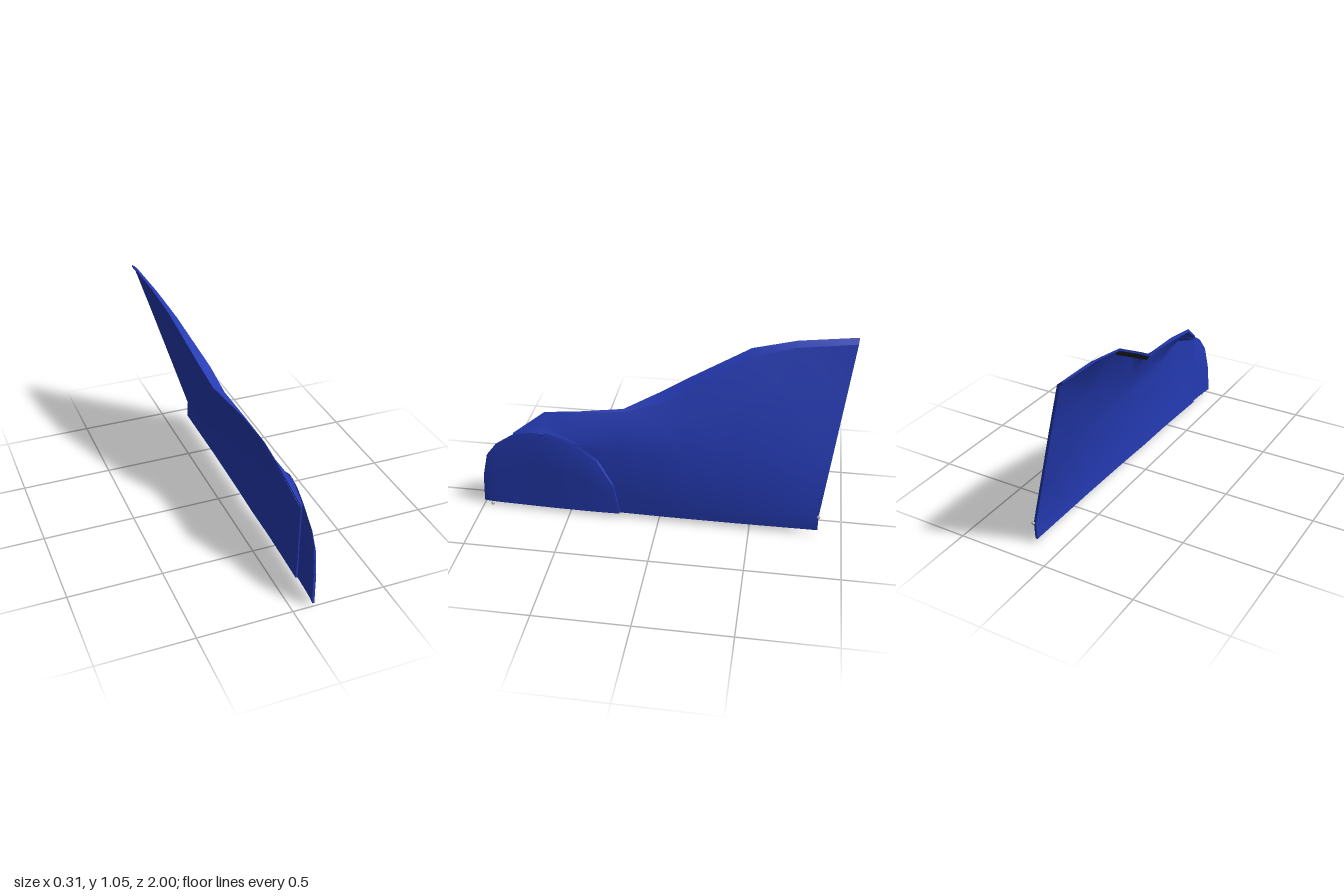
import * as THREE from 'three';
import { toCreasedNormals } from 'three/addons/utils/BufferGeometryUtils.js';

const blue = new THREE.MeshStandardMaterial({ color: 0x243ab2 });
blue.name = 'blue paint';
const black = new THREE.MeshStandardMaterial({ color: 0x1c1c1e, side: THREE.DoubleSide });
black.name = 'black lining';
const grey = new THREE.MeshStandardMaterial({ color: 0xb4b4b4 });
grey.name = 'grey metal';

const THICK = 0.013;
const bottomY = z => 0.028 - 0.007 * z;

// The rear end leans backwards as it rises
const lean = (z, y) => z - (z < 0 ? 0.13 * (-z / 0.87) * Math.max(0, (y - 0.13) / 0.92) : 0);

// Closed thin ring: outer skin from bottom to top, then the inner skin back down
function ring(z, outer, drop) {
  const inner = outer.map(([x, y], i) => {
    const k = i / (outer.length - 1);
    return i === outer.length - 1 ? [x, y - drop] : [x - THICK, y - drop * k * k];
  });
  return [...outer, ...inner.reverse()].map(([x, y]) => [x, y, lean(z, y)]);
}

// Skin a row of rings that runs from back to front
function loft(rings, closed = true) {
  const n = rings[0].length, index = [];
  const quad = (a, b, c, d) => index.push(a, b, c, a, c, d);
  for (let s = 0; s < rings.length - 1; s++) {
    for (let i = 0; i < (closed ? n : n - 1); i++) {
      const j = (i + 1) % n;
      quad(s * n + i, s * n + j, (s + 1) * n + j, (s + 1) * n + i);
    }
  }
  if (closed) {
    const last = (rings.length - 1) * n;
    for (let i = 0; i < n / 2 - 1; i++) {
      quad(i, n - 1 - i, n - 2 - i, i + 1);
      quad(last + i, last + i + 1, last + n - 2 - i, last + n - 1 - i);
    }
  }
  const g = new THREE.BufferGeometry();
  g.setAttribute('position', new THREE.Float32BufferAttribute(rings.flat(2), 3));
  g.setIndex(index);
  return toCreasedNormals(g, 0.5);
}

// z, bottom x, then x,y of the crease, middle, top edge and folded flange
const stations = [
  [-0.87, 0.14, 0.055, 0.43, -0.04, 0.75, -0.125, 1.03, -0.155, 1.055],
  [-0.6, 0.14, 0.085, 0.43, 0.0, 0.75, -0.1, 1.0, -0.135, 1.025],
  [-0.4, 0.14, 0.105, 0.43, 0.025, 0.72, -0.07, 0.945, -0.115, 0.975],
  [-0.13, 0.137, 0.125, 0.43, 0.07, 0.62, 0.01, 0.775, -0.06, 0.81],
  [0, 0.135, 0.135, 0.43, 0.09, 0.58, 0.035, 0.69, -0.03, 0.73],
  [0.2, 0.13, 0.135, 0.43, 0.11, 0.55, 0.07, 0.64, 0.055, 0.65],
  [0.42, 0.13, 0.148, 0.455, 0.125, 0.53, 0.085, 0.615, 0.075, 0.628],
  [0.63, 0.125, 0.15, 0.51, 0.115, 0.55, 0.08, 0.592, 0.07, 0.602],
  [0.8, 0.12, 0.128, 0.455, 0.126, 0.468, 0.121, 0.476, 0.11, 0.481],
];

// x,y of the wheel arch plate's edge at each z, with its bottom x
const arch = [
  [0.22, 0.142, 0.142, 0.05],
  [0.25, 0.142, 0.146, 0.22],
  [0.33, 0.143, 0.15, 0.37],
  [0.42, 0.142, 0.154, 0.45],
  [0.51, 0.14, 0.155, 0.49],
  [0.6, 0.138, 0.156, 0.515],
  [0.7, 0.134, 0.148, 0.508],
  [0.8, 0.13, 0.136, 0.48],
  [0.9, 0.126, 0.132, 0.41],
  [0.96, 0.122, 0.126, 0.33],
  [0.99, 0.118, 0.12, 0.2],
  [1, 0.114, 0.114, 0.03],
];

export function createModel() {
  const model = new THREE.Group();
  const add = (name, geometry, material) => {
    const mesh = new THREE.Mesh(geometry, material);
    mesh.name = name;
    model.add(mesh);
    return mesh;
  };

  // Main curved panel with a folded top flange
  add('bodyPanel', loft(stations.map(([z, bx, ...p]) => ring(z, [
    [bx, bottomY(z)], [bx + 0.004, 0.13],
    [p[0], p[1]], [p[2], p[3]], [p[4], p[5]], [p[6], p[7]],
  ], 0.012))), blue);

  // Slightly raised rounded plate over the front
  add('archPlate', loft(arch.map(([z, bx, tx, ty]) => {
    const by = bottomY(z);
    const at = k => [bx + (tx - bx) * k, by + (ty - by) * k];
    return ring(z, [at(0), at(0.5), at(0.94), [tx - 0.008, ty]], 0.004);
  })), blue);

  // Dark lining tucked under the flange
  add('flangeLining', loft(stations.slice(2, 5).map(([z, , ...p]) => {
    const x = p[6], y = p[7];
    return [[x - 0.001, y - 0.004], [x + 0.022, y - 0.04]].map(([a, b]) => [a, b, lean(z, y)]);
  }), false), black);

  // Small round fixings at the lower corners
  for (const [name, x, y, z] of [['frontFixing', 0.126, 0.011, 0.95], ['rearFixing', 0.147, 0.125, -0.87]]) {
    add(name, new THREE.SphereGeometry(0.01, 12, 8), grey).position.set(x, y, z);
  }
  return model;
}
